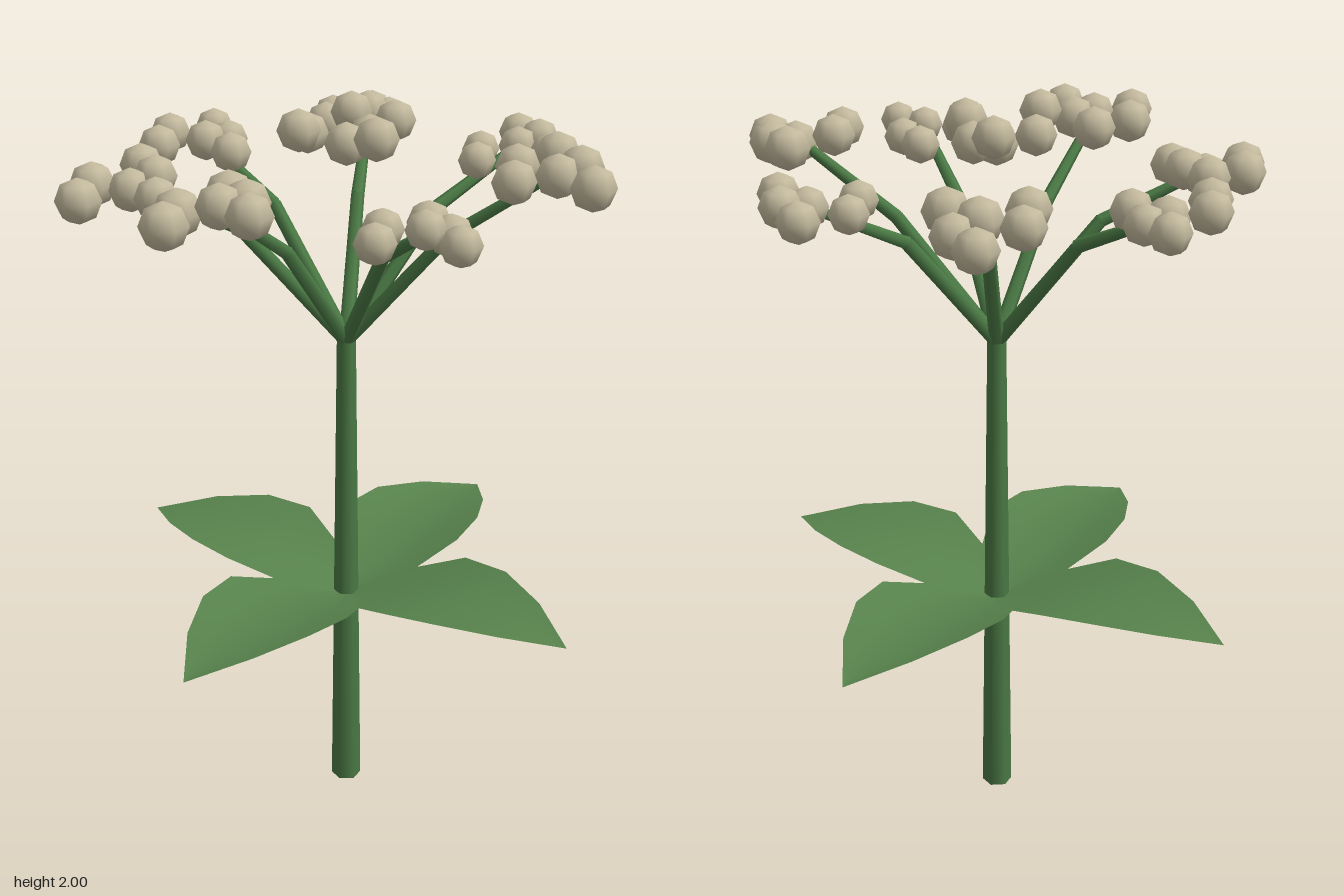
import * as THREE from 'three';

const stemMat = new THREE.MeshStandardMaterial({ color: 0x4b7a45 });
stemMat.name = 'stem green';
const leafMat = new THREE.MeshStandardMaterial({ color: 0x57824c, side: THREE.DoubleSide });
leafMat.name = 'leaf green';
const flowerMat = new THREE.MeshStandardMaterial({ color: 0xc5bb9f });
flowerMat.name = 'cream';

function add(parent, name, geometry, material) {
  const mesh = new THREE.Mesh(geometry, material);
  mesh.name = name;
  parent.add(mesh);
  return mesh;
}

// Tapered rod between two points
function rod(parent, name, a, b, ra, rb) {
  const dir = b.clone().sub(a);
  const mesh = add(parent, name, new THREE.CylinderGeometry(rb, ra, dir.length(), 6), stemMat);
  mesh.position.copy(a).add(b).multiplyScalar(0.5);
  mesh.quaternion.setFromUnitVectors(new THREE.Vector3(0, 1, 0), dir.normalize());
}

// Cupped leaf blade along +x, lofted from [distance, half width, height]
function leafGeometry() {
  const rows = [[0, 0.012, 0.61], [0.14, 0.142, 0.648], [0.27, 0.194, 0.678],
    [0.41, 0.176, 0.693], [0.555, 0.108, 0.694], [0.7, 0, 0.67]];
  const across = 4, pos = [], index = [];
  rows.forEach(([s, w, y], i) => {
    for (let j = 0; j <= across; j++) {
      const z = w * (j / across * 2 - 1);
      pos.push(s, y + z * z * 1.05, z);
      if (i < rows.length - 1 && j < across) {
        const a = i * (across + 1) + j, b = a + across + 1;
        index.push(a, a + 1, b, a + 1, b + 1, b);
      }
    }
  });
  const geo = new THREE.BufferGeometry();
  geo.setAttribute('position', new THREE.Float32BufferAttribute(pos, 3));
  geo.setIndex(index);
  geo.computeVertexNormals();
  return geo;
}

export function createModel() {
  const group = new THREE.Group();
  group.name = 'umbelPlant';
  const plant = new THREE.Group();
  plant.name = 'plant';
  plant.position.set(0.006, 0, -0.004);
  group.add(plant);

  // Main stem
  rod(plant, 'stem', new THREE.Vector3(), new THREE.Vector3(0, 1.38, 0), 0.042, 0.025);

  // Whorl of four leaves
  const blade = leafGeometry();
  for (let i = 0; i < 4; i++) {
    add(plant, 'leaf', blade, leafMat).rotation.y = 0.39 + i * Math.PI / 2;
  }

  // Flower heads: a ring of seven and a raised centre one, [height, floret radius]
  const bud = new THREE.SphereGeometry(1, 6, 4).rotateY(Math.PI / 2);
  const knee = new THREE.SphereGeometry(0.018, 6, 4);
  const heads = [[1.81, 0.052], [1.83, 0.056], [1.803, 0.054], [1.8, 0.057],
    [1.855, 0.058], [1.812, 0.051], [1.865, 0.057], [1.9, 0.055]];
  const golden = Math.PI * (3 - Math.sqrt(5));
  heads.forEach(([y, r], k) => {
    const centre = k === 7;
    const R = centre ? 0 : 0.54, a = k / 7 * Math.PI * 2;
    const at = (d, h) => new THREE.Vector3(Math.cos(a) * d, h, -Math.sin(a) * d);
    const head = new THREE.Group();
    head.name = 'flowerHead';
    plant.add(head);

    // Bent ray from the stem top to each outer head
    if (!centre) {
      const bend = at(R / 2, 1.678);
      rod(head, 'rayLower', at(0, 1.365), bend, 0.02, 0.018);
      add(head, 'rayKnee', knee, stemMat).position.copy(bend);
      rod(head, 'rayUpper', bend, at(R, y), 0.018, 0.013);
    }

    // One floret in the middle and five on a spiral around it
    for (let i = 0; i < 6; i++) {
      const d = i ? 0.07 * Math.sqrt(i) : 0, t = (i - 1) * golden;
      const lift = centre ? 0.012 * (i - 1) : 0.014 * Math.sin(i * 2.3 + k * 1.7);
      const floret = add(head, 'floret', bud, flowerMat);
      floret.scale.setScalar(r + 0.002 * Math.sin(i * 2.3 + k));
      floret.position.copy(at(R, y + lift));
      floret.position.x += Math.cos(t) * d;
      floret.position.z -= Math.sin(t) * d;
    }
  });
  return group;
}
